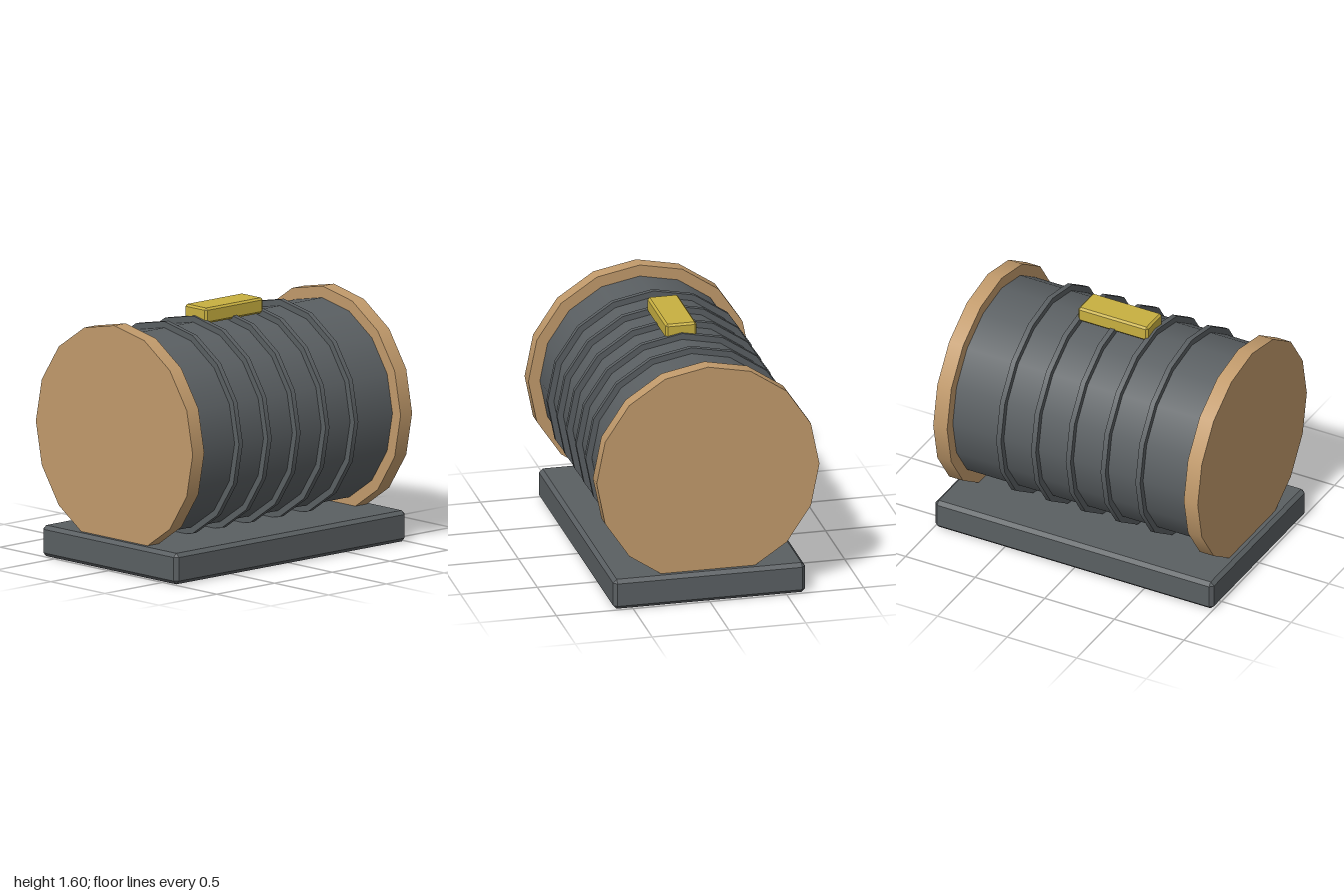
import * as THREE from 'three';
import { ConvexGeometry } from 'three/addons/geometries/ConvexGeometry.js';

const steel = new THREE.MeshStandardMaterial({ color: 0x5a5f62 });
const wood = new THREE.MeshStandardMaterial({ color: 0xc19a6b });
const brass = new THREE.MeshStandardMaterial({ color: 0xc8b040 });

const AXIS_Y = 0.85;
const SIDES = 16;

export function createModel() {
  const group = new THREE.Group();

  const add = (name, geometry, material, x, y) => {
    const mesh = new THREE.Mesh(geometry, material);
    mesh.name = name;
    mesh.position.set(x, y, 0);
    group.add(mesh);
  };

  // Cylinder lying along x, with a corner pointing straight up
  const drum = (name, radius, length, material, x) => add(
    name,
    new THREE.CylinderGeometry(radius, radius, length, SIDES).rotateZ(Math.PI / 2),
    material, x, AXIS_Y
  );

  // Box with every edge cut by a flat chamfer
  const chamferBox = (w, h, d, c) => {
    const points = [];
    for (const sx of [-1, 1]) for (const sy of [-1, 1]) for (const sz of [-1, 1]) {
      for (let axis = 0; axis < 3; axis++) {
        const size = [w / 2 - c, h / 2 - c, d / 2 - c];
        size[axis] += c;
        points.push(new THREE.Vector3(sx * size[0], sy * size[1], sz * size[2]));
      }
    }
    return new ConvexGeometry(points);
  };

  add('base', chamferBox(2, 0.2, 1.25, 0.024), steel, 0, 0.1);
  drum('barrel', 0.65, 1.75, steel, 0);

  // Raised hoops around the barrel
  for (let i = -2; i <= 2; i++) drum('rib', 0.69, 0.034, steel, i * 0.25);

  // Wooden end caps
  for (const side of [-1, 1]) drum('endCap', 0.725, 0.1, wood, side * 0.9);

  add('topPlate', chamferBox(0.5, 0.1, 0.2, 0.013), brass, 0, 1.55);

  return group;
}
